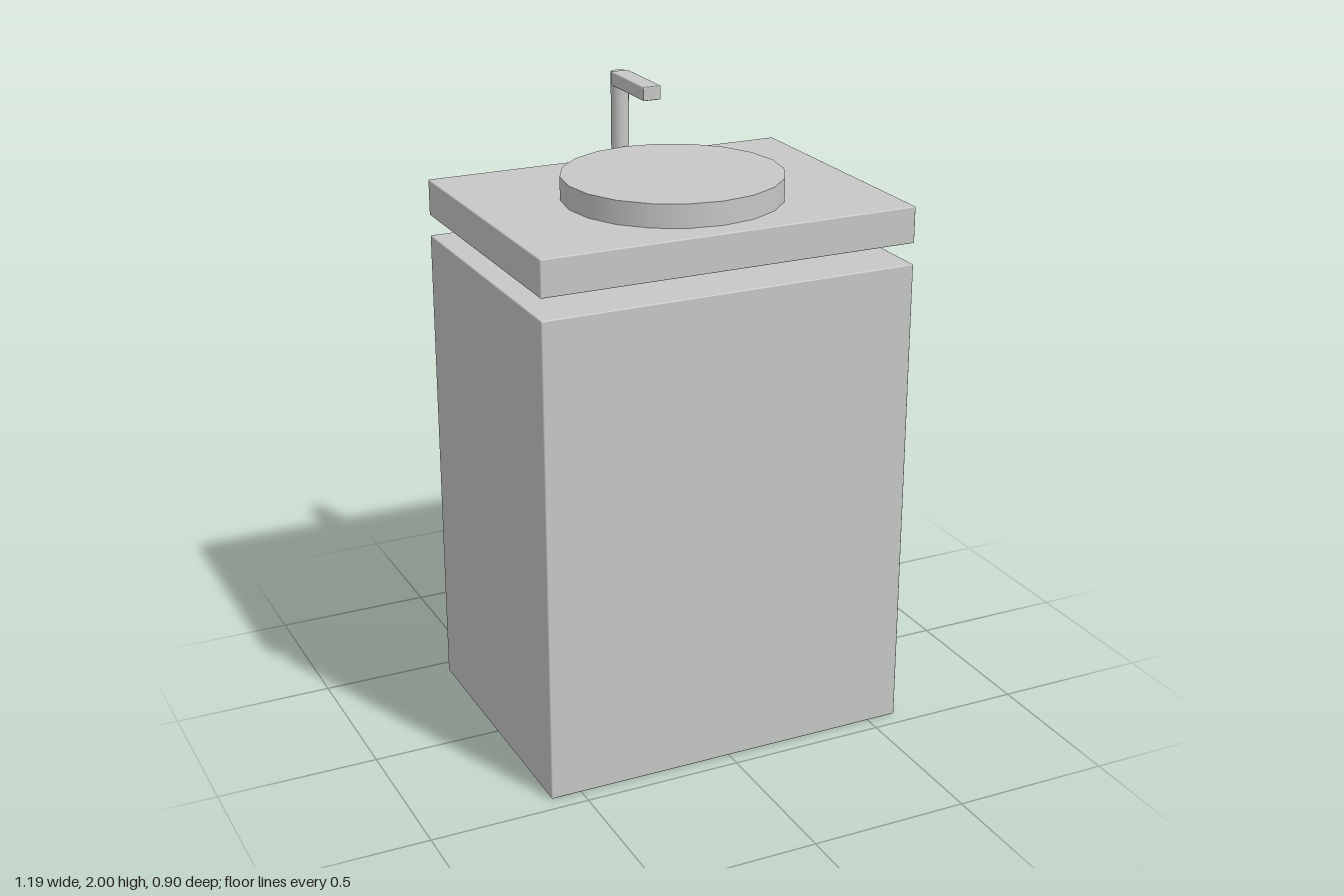
import * as THREE from 'three';
import { RoundedBoxGeometry } from 'three/addons/geometries/RoundedBoxGeometry.js';

export function createModel() {
  const group = new THREE.Group();
  group.name = 'washbasinUnit';
  const grey = new THREE.MeshStandardMaterial({ color: 0xc6c8c6 });
  grey.name = 'light grey';

  function add(name, geometry, x, y, z) {
    const mesh = new THREE.Mesh(geometry, grey);
    mesh.name = name;
    mesh.position.set(x, y, z);
    group.add(mesh);
  }

  // Box given by its bottom and top heights, with finely eased edges
  function addBox(name, width, y0, y1, z0, z1, ease) {
    const geometry = new RoundedBoxGeometry(width, y1 - y0, z1 - z0, 1, ease);
    add(name, geometry, 0, (y0 + y1) / 2, (z0 + z1) / 2);
  }

  // Upright cylinder given by its bottom and top heights
  function addCylinder(name, radius, y0, y1, z, sides) {
    add(name, new THREE.CylinderGeometry(radius, radius, y1 - y0, sides), 0, (y0 + y1) / 2, z);
  }

  // Cabinet and the countertop, separated by a shadow gap
  addBox('cabinet', 1.194, 0, 1.52, -0.448, 0.448, 0.004);
  addBox('countertop', 1.194, 1.585, 1.698, -0.448, 0.448, 0.004);

  // Shallow round basin standing on the countertop
  addCylinder('basin', 0.337, 1.69, 1.77, 0.039, 20);

  // Tap: round column and square spout reaching over the basin
  addCylinder('tapColumn', 0.028, 1.69, 1.997, -0.338, 20);
  addBox('tapSpout', 0.058, 1.957, 2, -0.34, -0.102, 0.003);

  return group;
}
